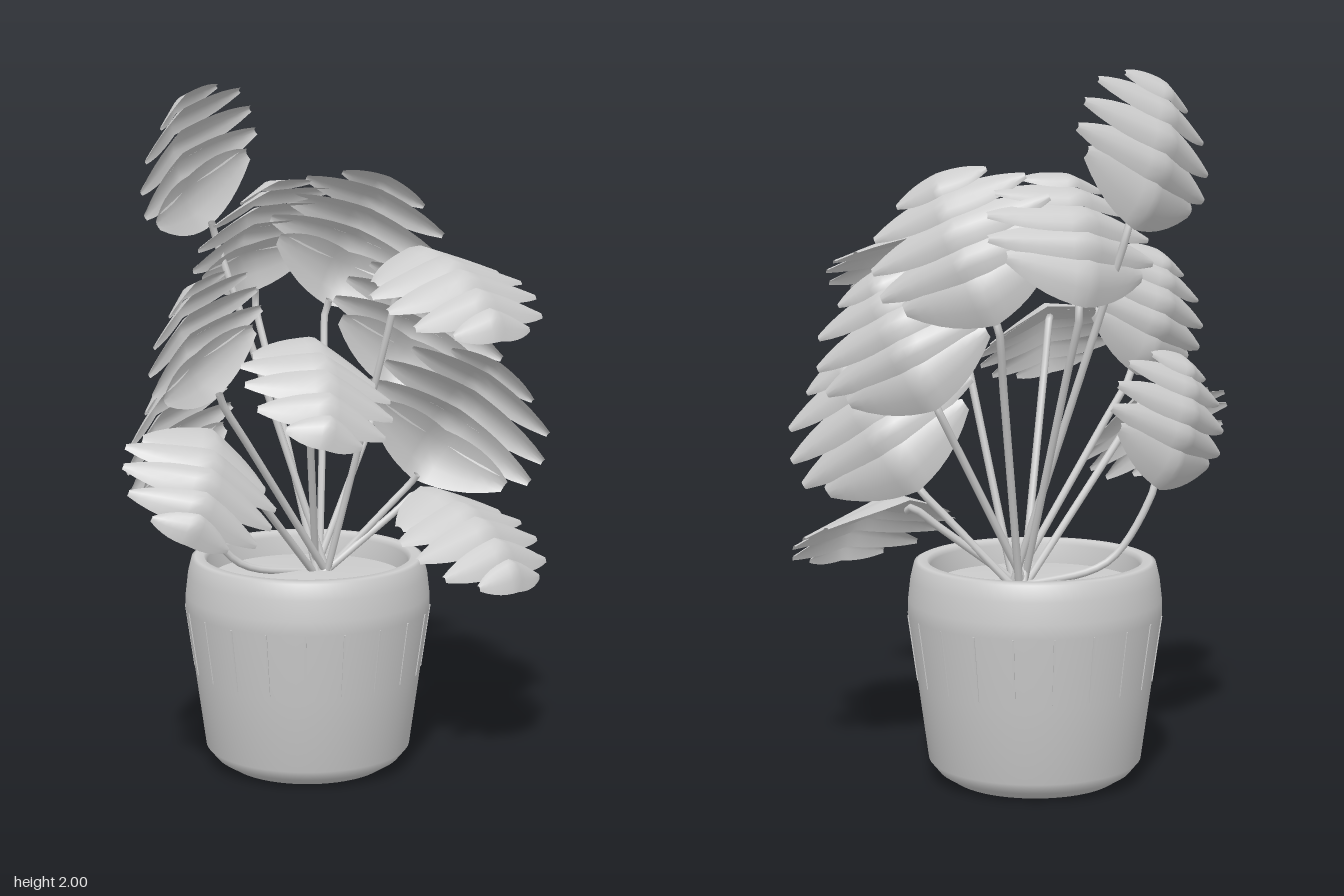
import * as THREE from 'three';

const grey = new THREE.MeshStandardMaterial({ color: 0xcccccc, side: THREE.DoubleSide });
grey.name = 'pale grey';

const V = (a) => new THREE.Vector3(...a);
const POT = [-0.05, 0, -0.15];
const ROOT = [0, 0.56, -0.18];

// Leaves: base, tip, sideways direction, width and, where the stalk kinks, its elbow
const LEAVES = [
  { base: [-0.27, 1.57, -0.37], tip: [-0.385, 1.975, -0.22], side: [0.4, 0.22, -0.27], width: 0.53 },
  { base: [-0.13, 1.36, -0.43], tip: [-0.11, 1.72, -0.24], side: [0.45, 0.12, -0.18], width: 0.54 },
  { base: [0.09, 1.32, -0.42], tip: [0.24, 1.72, -0.27], side: [0.43, -0.12, 0.09], width: 0.53 },
  { base: [0.19, 1.53, 0.04], tip: [0.31, 1.34, 0.46], side: [0.42, 0.03, -0.18], width: 0.51 },
  { base: [0.24, 1.08, -0.31], tip: [0.40, 1.45, -0.16], side: [0.38, -0.24, 0.1], width: 0.53 },
  { base: [0.27, 0.83, -0.14], tip: [0.48, 1.2, 0.03], side: [0.48, -0.25, 0.12], width: 0.57 },
  { base: [0.30, 0.79, -0.17], tip: [0.47, 0.57, 0.22], side: [0.42, -0.02, -0.16], width: 0.49 },
  { base: [-0.13, 1.30, 0.10], tip: [-0.20, 1.08, 0.51], side: [0.42, -0.12, 0.01], width: 0.44 },
  { base: [-0.35, 1.13, 0.0], tip: [-0.45, 1.48, 0.11], side: [0.35, 0.25, -0.23], width: 0.5 },
  { base: [-0.40, 1.05, 0.05], tip: [-0.54, 0.81, 0.36], side: [0.38, -0.17, 0.02], width: 0.46 },
  { base: [-0.39, 0.82, -0.15], tip: [-0.49, 1.19, -0.04], side: [0.33, 0.2, -0.25], width: 0.5, elbow: [-0.26, 0.62, -0.16] },
];

// Lobes from stalk to tip: centre along the leaf, reach, half chord, sweep of the ends
const LOBES = [
  { c: 0.19, reach: 0.82, h: 0.19, sweep: 0.12 },
  { c: 0.42, reach: 1.0, h: 0.13, sweep: 0.01 },
  { c: 0.60, reach: 0.98, h: 0.12, sweep: 0.0 },
  { c: 0.78, reach: 0.84, h: 0.105, sweep: 0.0 },
  { c: 0.92, reach: 0.5, h: 0.085, sweep: -0.01 },
];

// One blunt lens-shaped lobe lying along z, folded at the midrib and drooping at the ends
function lobeGeometry({ c, reach, h, sweep }, length, width) {
  const g = new THREE.PlaneGeometry(2, 2, 12, 4).rotateX(-Math.PI / 2);
  const p = g.attributes.position;
  for (let i = 0; i < p.count; i++) {
    const u = p.getX(i), v = p.getZ(i), a = Math.abs(u);
    const chord = h * (1 - 0.8 * Math.pow(a, 2.4));
    const t = c + sweep * a + v * chord;
    const x = u * reach * width / 2;
    const arch = 0.24 * t * (1 - t);
    const bulge = 0.022 * (1 - v * v) * (1 - 0.7 * a);
    const y = arch + bulge + 0.01 - 0.27 * Math.abs(x) - 0.012 * v * (1 - a);
    p.setXYZ(i, x, y, t * length);
  }
  g.computeVertexNormals();
  return g;
}

function makeLeaf({ base, tip, side, width }) {
  const leaf = new THREE.Group();
  leaf.name = 'leaf';
  const dir = V(tip).sub(V(base));
  const length = dir.length();
  dir.normalize();
  const lat = V(side).addScaledVector(dir, -V(side).dot(dir)).normalize();
  const up = dir.clone().cross(lat);
  for (const l of LOBES) {
    const lobe = new THREE.Mesh(lobeGeometry(l, length, width), grey);
    lobe.name = 'leafLobe';
    leaf.add(lobe);
  }
  leaf.quaternion.setFromRotationMatrix(new THREE.Matrix4().makeBasis(lat, up, dir));
  leaf.position.copy(V(base));
  return leaf;
}

// Stalk rising from the soil and bending into the leaf
function makeStem({ base, tip, elbow }, i) {
  const end = V(base).lerp(V(tip), 0.06);
  const start = V(ROOT).add(new THREE.Vector3(Math.cos(i * 2.4), 0, Math.sin(i * 2.4)).multiplyScalar(0.02));
  const mid = elbow ? V(elbow) : start.clone().lerp(V(base), 0.75);
  const curve = new THREE.CatmullRomCurve3([start, mid, V(base), end]);
  const stem = new THREE.Mesh(new THREE.TubeGeometry(curve, 16, 0.011, 8), grey);
  stem.name = 'stem';
  return stem;
}

function makePot() {
  const pot = new THREE.Group();
  pot.name = 'pot';
  const pieces = {
    potBody: [[0, 0], [0.16, 0], [0.235, 0.002], [0.275, 0.027], [0.302, 0.06], [0.332, 0.28], [0.36, 0.48],
      [0.359, 0.52], [0.352, 0.58], [0.341, 0.625], [0.33, 0.63], [0.305, 0.63], [0.295, 0.615], [0.29, 0.55]],
    soil: [[0.292, 0.56], [0.15, 0.572], [0, 0.576]],
  };
  for (const [name, pts] of Object.entries(pieces)) {
    const m = new THREE.Mesh(new THREE.LatheGeometry(pts.map((q) => new THREE.Vector2(...q)), 80), grey);
    m.name = name;
    pot.add(m);
  }
  // Thin upright ribs around the wall
  for (let i = 0; i < 20; i++) {
    const a = (i / 20) * Math.PI * 2;
    const rib = new THREE.Mesh(new THREE.BoxGeometry(0.005, 0.19, 0.006), grey);
    rib.name = 'potRib';
    rib.position.set(Math.sin(a) * 0.3465, 0.385, Math.cos(a) * 0.3465);
    rib.rotation.set(0.14, a, 0, 'YXZ');
    pot.add(rib);
  }
  pot.position.set(...POT);
  return pot;
}

export function createModel() {
  const model = new THREE.Group();
  model.name = 'pottedPlant';
  model.add(makePot());
  LEAVES.forEach((l, i) => model.add(makeLeaf(l), makeStem(l, i)));
  return model;
}
